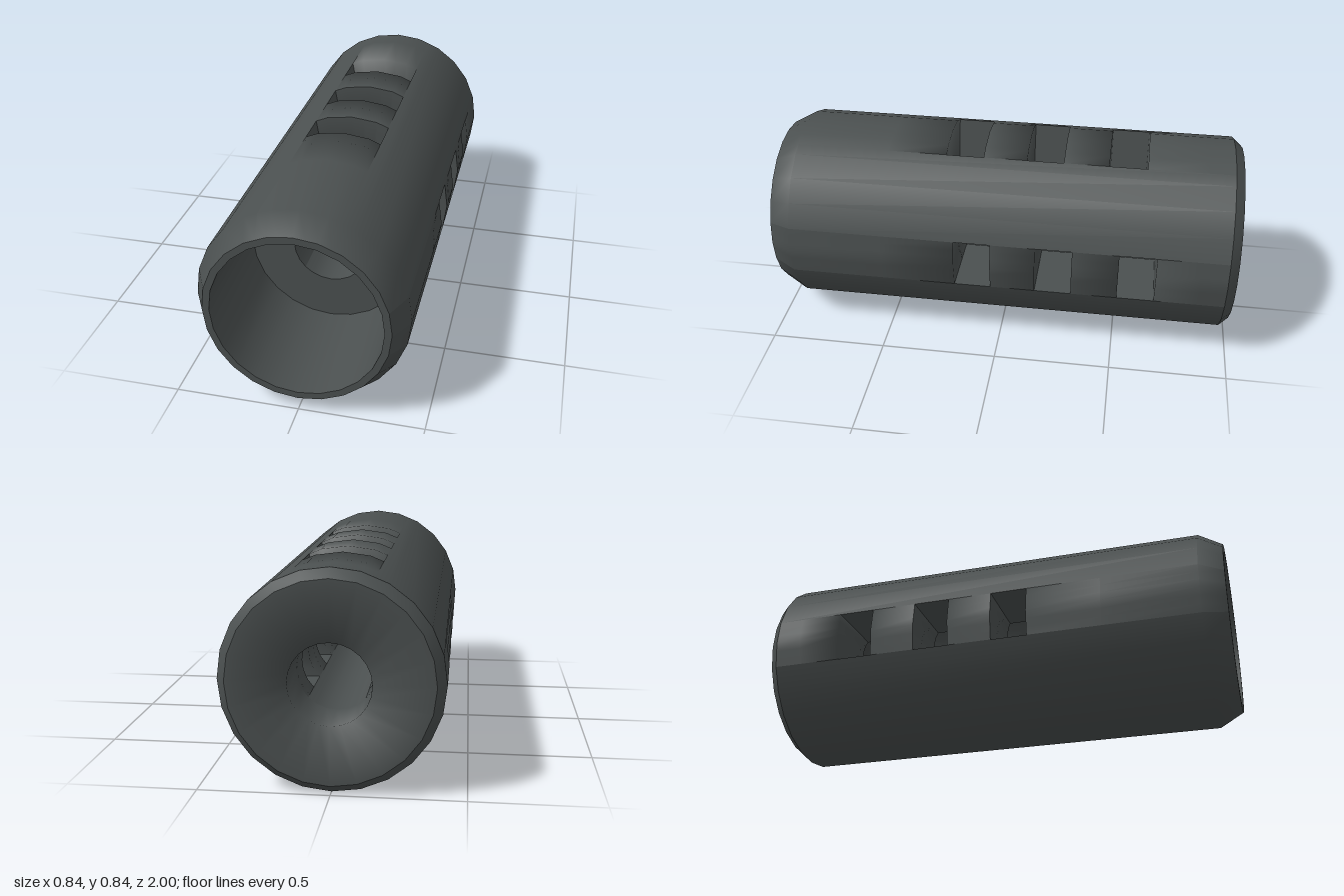
import * as THREE from 'three';

const R = 0.42, BORE = 0.155, POCKET = 0.337; // outer, through-bore and front pocket radii
const FRONT = 1, BACK = -1, POCKET_END = 0.48, BORE_END = -0.8;

// Point on a 24-sided ring; in-between angles lie on the straight facets
function point(radius, deg, z) {
  const off = (((deg % 15) + 15) % 15) - 7.5;
  const r = radius * Math.cos(Math.PI / 24) / Math.cos(THREE.MathUtils.degToRad(off));
  const a = THREE.MathUtils.degToRad(deg);
  return [r * Math.cos(a), r * Math.sin(a), z];
}

function range(from, to, step) {
  const out = [];
  for (let a = from; a <= to + 1e-6; a += step) out.push(a);
  return out;
}

// Joins rows of points into one smooth surface
function skin(rows, closed = false) {
  const n = rows[0].length, index = [];
  for (let i = 0; i < rows.length - 1; i++) {
    for (let j = 0; j < (closed ? n : n - 1); j++) {
      const k = (j + 1) % n, a = i * n + j, b = i * n + k, c = a + n, d = b + n;
      index.push(a, c, d, a, d, b);
    }
  }
  const g = new THREE.BufferGeometry();
  g.setAttribute('position', new THREE.Float32BufferAttribute(rows.flat(2), 3));
  g.setIndex(index);
  g.computeVertexNormals();
  return g;
}

export function createModel() {
  const model = new THREE.Group();
  model.name = 'ventedCylinder';
  const gunmetal = new THREE.MeshStandardMaterial({ color: 0x4b5050, side: THREE.DoubleSide });
  gunmetal.name = 'dark gunmetal';

  const add = (name, geometry) => {
    const mesh = new THREE.Mesh(geometry, gunmetal);
    mesh.name = name;
    mesh.position.y = R;
    model.add(mesh);
  };
  // Surface swept round the axis from a [radius, z] profile
  const swept = (name, profile, angles, closed) =>
    add(name, skin(profile.map(([r, z]) => angles.map(a => point(r, a, z))), closed));

  // Full rings: end faces, pocket and chamfer
  const circle = range(0, 345, 15);
  swept('frontRim', [[POCKET, FRONT], [0.365, FRONT]], circle, true);
  swept('frontPocket', [[POCKET, POCKET_END], [POCKET, FRONT]], circle, true);
  swept('pocketFloor', [[BORE, POCKET_END], [POCKET, POCKET_END]], circle, true);
  swept('backChamfer', [[R, -0.96], [0.385, BACK]], circle, true);
  swept('backFace', [[0.385, BACK], [BORE, BACK], [BORE, BORE_END]], circle, true);

  // Solid outer walls between the vented panels
  const wall = [[0.365, FRONT], [R, 0.9], [R, -0.96]];
  swept('upperLeftWall', wall, [15, 30, 45, 60, 67.5]);
  swept('upperRightWall', wall, [112.5, 120, 135, 150, 165]);
  swept('lowerWall', wall, range(195, 345, 15));
  swept('boreFloor', [[BORE, BORE_END], [BORE, POCKET_END]], range(225, 315, 15));

  // Vented panel: three ports through to the bore, separated by ribs
  function ventedPanel(name, centre, half, ports) {
    const outAngles = range(centre - half, centre + half, half / 3);
    const inAngles = range(centre - 45, centre + 45, 15);
    const outer = (z, r = R) => outAngles.map(a => point(r, a, z));
    const inner = z => inAngles.map(a => point(BORE, a, z));
    const start = ports[0][0], end = ports[2][1];

    add(name + 'Front', skin([outer(FRONT, 0.365), outer(0.9), outer(0.5), outer(start),
      inner(start), inner(POCKET_END)]));
    add(name + 'Back', skin([inner(BORE_END), inner(end), outer(end), outer(-0.85), outer(-0.96)]));
    for (let i = 0; i < 2; i++) {
      const a = ports[i][1], b = ports[i + 1][0];
      add(name + 'Rib', skin([outer(a), outer(b), inner(b), inner(a), outer(a)]));
    }
    // Long walls of each port
    for (const [a, b] of ports) {
      for (const [j, z] of [[0, [b, a]], [6, [a, b]]]) {
        add(name + 'PortWall', skin([
          z.map(v => point(R, outAngles[j], v)),
          z.map(v => point(BORE, inAngles[j], v)),
        ]));
      }
    }
  }

  const sidePorts = [[0.185, 0.03], [-0.16, -0.315], [-0.51, -0.665]];
  const topPorts = [[0.25, 0.09], [-0.095, -0.25], [-0.44, -0.6]];
  ventedPanel('leftPanel', 0, 15, sidePorts);
  ventedPanel('rightPanel', 180, 15, sidePorts);
  ventedPanel('topPanel', 90, 22.5, topPorts);

  return model;
}
